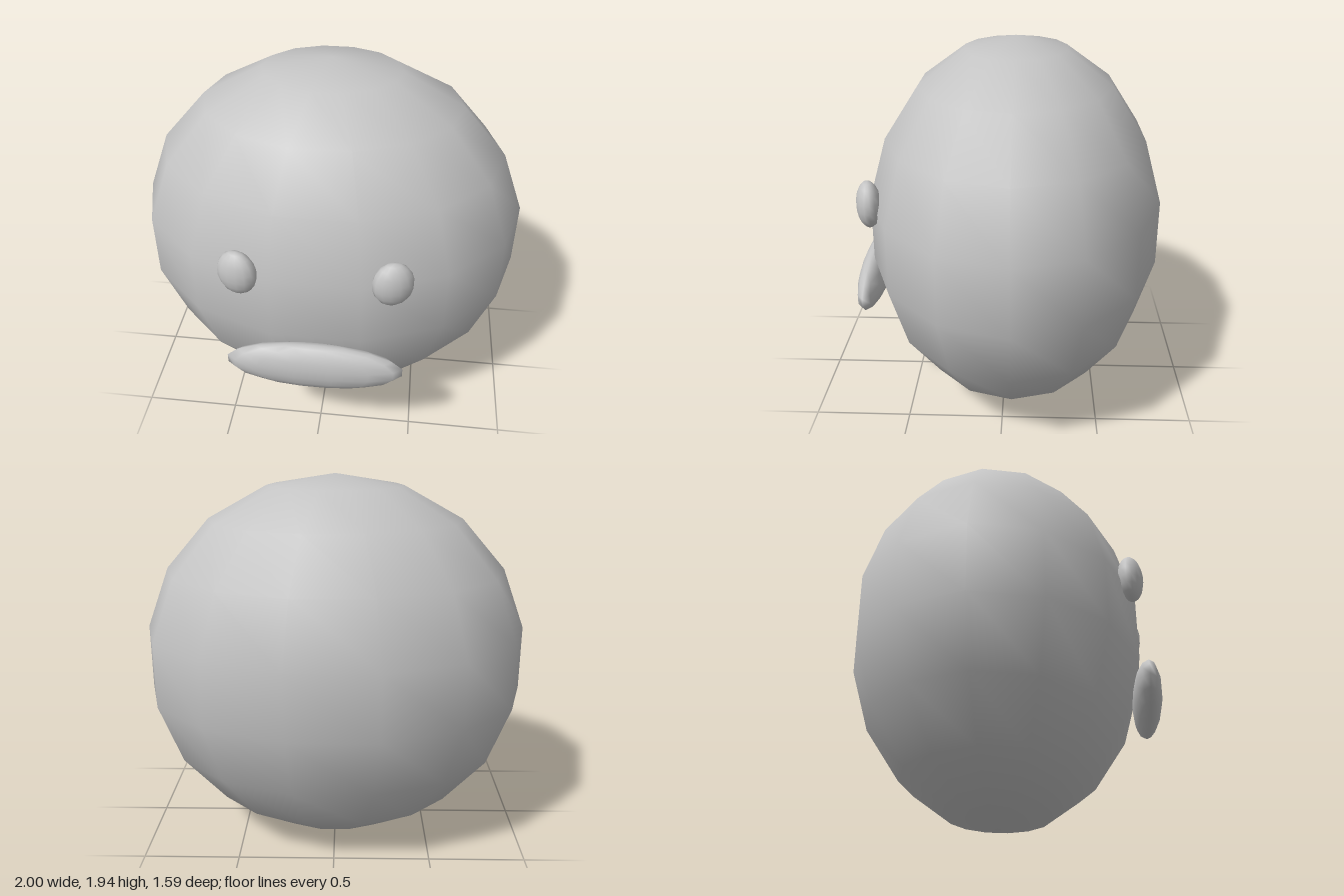
import * as THREE from 'three';

export function createModel() {
  const group = new THREE.Group();
  const grey = new THREE.MeshStandardMaterial({ color: 0xc4c4c4 });
  grey.name = 'grey';

  // Smooth-shaded ellipsoid with a coarse outline; normals follow the stretch
  function ellipsoid(name, radii, position, turn = 0) {
    const geometry = new THREE.SphereGeometry(1, 14, 9).scale(...radii);
    const mesh = new THREE.Mesh(geometry, grey);
    mesh.name = name;
    mesh.position.set(...position);
    mesh.rotation.y = turn;
    group.add(mesh);
  }

  // Flattened round head
  ellipsoid('head', [1.015, 0.972, 0.774], [0, 0.973, -0.053]);

  // Eyes, each turned to follow the face
  for (const [name, side] of [['leftEye', 1], ['rightEye', -1]]) {
    ellipsoid(name, [0.1, 0.12, 0.062], [side * 0.365, 1.172, 0.668], side * 0.26);
  }

  // Wide mouth
  ellipsoid('mouth', [0.445, 0.14, 0.075], [0, 0.645, 0.723]);

  return group;
}
